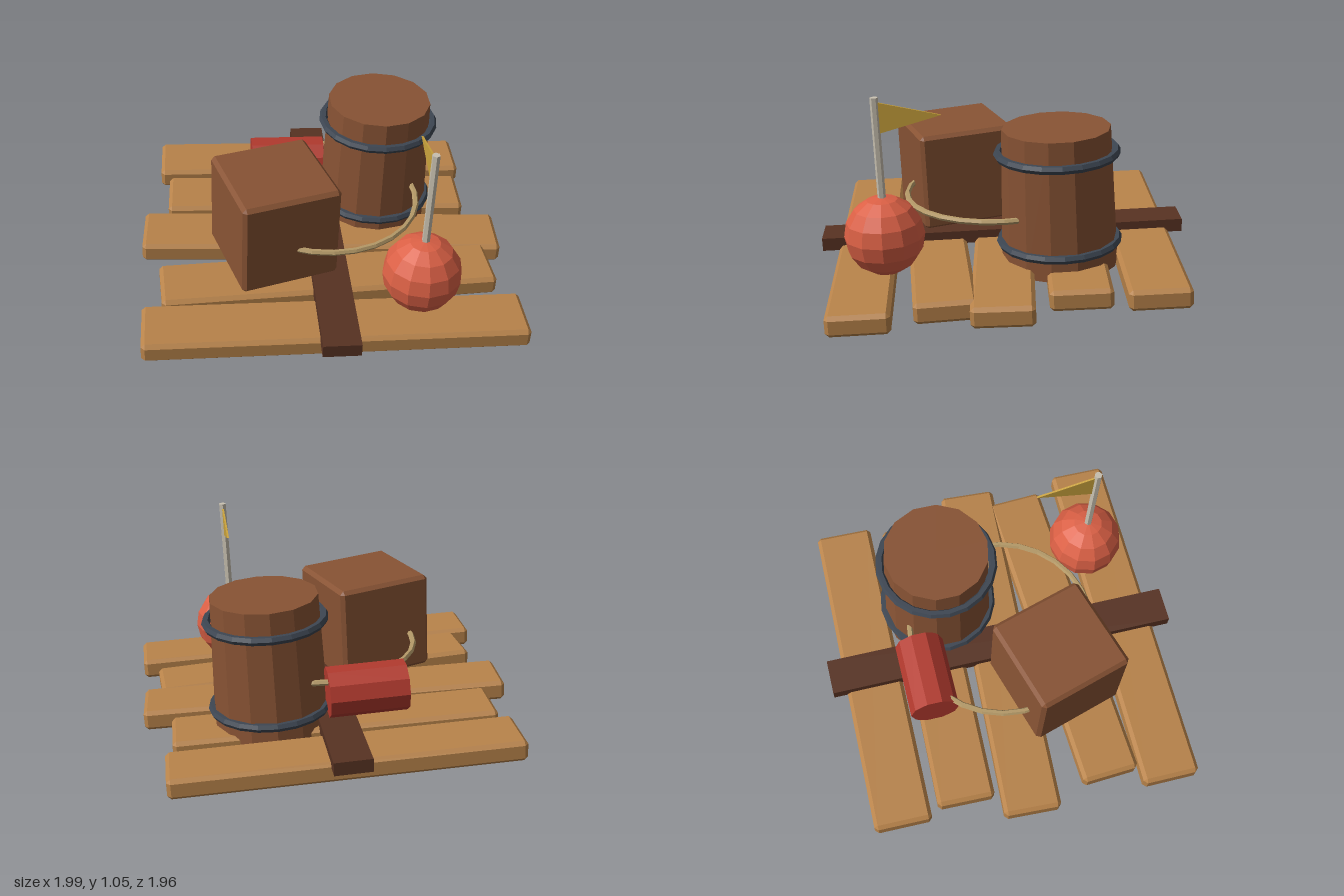
import * as THREE from 'three';
import { ConvexGeometry } from 'three/addons/geometries/ConvexGeometry.js';

const colours = {
  plankWood: 0xb8834a, darkWood: 0x573222, brownWood: 0x885334, iron: 0x3d4652,
  drumRed: 0xb23a2e, buoyCoral: 0xdb6045, rope: 0xb59a68, mastGrey: 0xc8c0b0, flagGold: 0xc9a23c,
};

// Box with every edge cut at 45 degrees
function chamferBox(w, h, d, c) {
  const points = [];
  for (const sx of [-1, 1]) for (const sy of [-1, 1]) for (const sz of [-1, 1]) {
    for (const [cx, cy, cz] of [[0, c, c], [c, 0, c], [c, c, 0]]) {
      points.push(new THREE.Vector3(sx * (w / 2 - cx), sy * (h / 2 - cy), sz * (d / 2 - cz)));
    }
  }
  return new ConvexGeometry(points);
}

// Split the faces so that each one is lit flat
function faceted(geometry) {
  const g = geometry.index ? geometry.toNonIndexed() : geometry;
  g.computeVertexNormals();
  return g;
}

export function createModel() {
  const mats = {};
  for (const [name, color] of Object.entries(colours)) {
    mats[name] = new THREE.MeshStandardMaterial({ color });
    mats[name].name = name;
  }
  mats.flagGold.side = THREE.DoubleSide;

  // The whole raft lists slightly to its left and front
  const raft = new THREE.Group();
  raft.name = 'raft';
  raft.position.y = 0.137;
  raft.rotation.set(0.045, 0, -0.04);

  function add(name, geometry, material, x, y, z, parent = raft) {
    const mesh = new THREE.Mesh(faceted(geometry), mats[material]);
    mesh.name = name;
    mesh.position.set(x, y, z);
    parent.add(mesh);
    return mesh;
  }

  // Deck planks: length, z, turn
  const planks = [
    [1.975, 0.73, 0], [1.79, 0.36, 0.055], [1.98, -0.01, -0.05],
    [1.7, -0.375, -0.027], [1.79, -0.745, -0.013],
  ];
  planks.forEach(([length, z, turn], i) => {
    add(`plank${i + 1}`, chamferBox(length, 0.11, 0.315, 0.02), 'plankWood', 0, 0, z).rotation.y = turn;
  });

  // Beam across the planks
  add('crossBeam', new THREE.BoxGeometry(0.195, 0.07, 1.96), 'darkWood', 0, 0.064, 0);

  // Crate
  add('crate', chamferBox(0.53, 0.53, 0.53, 0.02), 'brownWood', -0.29, 0.355, 0.235).rotation.y = 0.29;

  // Barrel with two hoops
  const barrel = new THREE.Group();
  barrel.name = 'barrel';
  barrel.position.set(0.32, 0, -0.29);
  raft.add(barrel);
  add('barrelBody', new THREE.CylinderGeometry(0.28, 0.305, 0.73, 14), 'brownWood', 0, 0.365, 0, barrel);
  for (const y of [0.125, 0.6]) {
    add('barrelHoop', new THREE.TorusGeometry(0.305, 0.023, 6, 20), 'iron', 0, y, 0, barrel).rotation.x = Math.PI / 2;
  }

  // Drum lying on its side
  add('drum', new THREE.CylinderGeometry(0.133, 0.133, 0.41, 10), 'drumRed', -0.165, 0.225, -0.46).rotation.z = Math.PI / 2;

  // Rope ring around the cargo
  add('ropeRing', new THREE.TorusGeometry(0.505, 0.016, 6, 28), 'rope', 0, 0.3, 0).rotation.x = Math.PI / 2;

  // Buoy with mast and pennant
  const buoy = new THREE.Group();
  buoy.name = 'buoy';
  buoy.position.set(0.445, 0.244, 0.61);
  raft.add(buoy);
  add('buoyBall', new THREE.SphereGeometry(0.207, 12, 8), 'buoyCoral', 0, 0, 0, buoy);
  add('mast', new THREE.CylinderGeometry(0.021, 0.021, 0.56, 6), 'mastGrey', 0, 0.443, 0, buoy);
  const pennant = new THREE.Shape([
    new THREE.Vector2(0, -0.083), new THREE.Vector2(0.325, 0), new THREE.Vector2(0, 0.083),
  ]);
  const flag = new THREE.ExtrudeGeometry(pennant, { depth: 0.01, bevelEnabled: false });
  flag.translate(0, 0, -0.005);
  add('flag', flag, 'flagGold', 0, 0.618, 0, buoy).rotation.y = Math.PI / 2;

  const model = new THREE.Group();
  model.name = 'cargoRaft';
  model.add(raft);
  return model;
}
